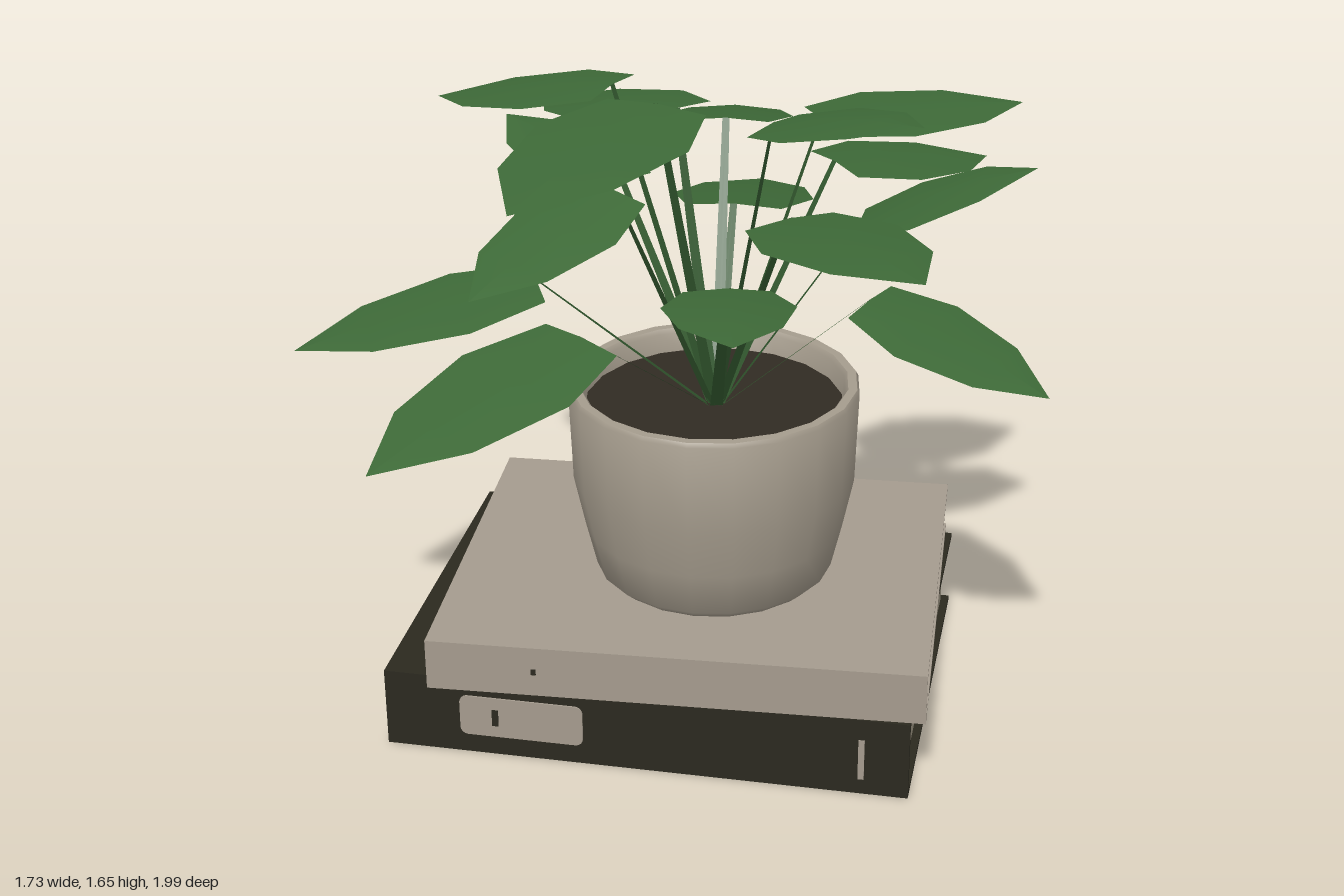
import * as THREE from 'three';
import { toCreasedNormals } from 'three/addons/utils/BufferGeometryUtils.js';

const mat = (name, color, side = THREE.FrontSide) => {
  const m = new THREE.MeshStandardMaterial({ color, side });
  m.name = name;
  return m;
};

export function createModel() {
  const model = new THREE.Group();
  const pale = mat('pale cover', 0xa59b8e);
  const paper = mat('paper', 0xa69d8b);
  const dark = mat('dark cover', 0x2b291f);
  const clay = mat('clay', 0xa59c8d);
  const earth = mat('earth', 0x312b23);
  const green = mat('leaf green', 0x3e6a38, THREE.DoubleSide);
  const stemGreen = mat('stem green', 0x33592f, THREE.DoubleSide);

  const add = (parent, name, geo, material, x = 0, y = 0, z = 0) => {
    const mesh = new THREE.Mesh(geo, material);
    mesh.name = name;
    mesh.position.set(x, y, z);
    parent.add(mesh);
    return mesh;
  };
  const box = (parent, name, w, h, d, material, x, y, z) =>
    add(parent, name, new THREE.BoxGeometry(w, h, d), material, x, y, z);

  // Book: two covers, a spine on the front edge and an inset page block
  const book = (name, w, h, d, cover, x, y, z, turn) => {
    const g = new THREE.Group();
    const t = 0.012;
    g.name = name;
    g.position.set(x, y, z);
    g.rotation.y = turn;
    box(g, 'bottomCover', w, t, d, cover, 0, t / 2, 0);
    box(g, 'topCover', w, t, d, cover, 0, h - t / 2, 0);
    box(g, 'spine', w, h - 2 * t, t, cover, 0, h / 2, d / 2 - t / 2);
    box(g, 'pages', w - 0.04, h - 2 * t, d - t - 0.02, paper, 0, h / 2, (0.02 - t) / 2);
    model.add(g);
    return g;
  };
  const lower = book('lowerBook', 1.3, 0.208, 0.96, dark, -0.1, 0, 0, 0.305);
  const upper = book('upperBook', 1.21, 0.132, 0.98, pale, -0.045, 0.208, -0.005, 0.36);

  // Spine decoration: rounded label, small marks and an end stripe
  const lw = 0.155, lh = 0.055, r = 0.02;
  const label = new THREE.Shape();
  label.absarc(lw - r, lh - r, r, 0, Math.PI / 2);
  label.absarc(-lw + r, lh - r, r, Math.PI / 2, Math.PI);
  label.absarc(-lw + r, -lh + r, r, Math.PI, Math.PI * 1.5);
  label.absarc(lw - r, -lh + r, r, Math.PI * 1.5, Math.PI * 2);
  add(lower, 'spineLabel',
    new THREE.ExtrudeGeometry(label, { depth: 0.004, bevelEnabled: false, curveSegments: 4 }),
    pale, -0.305, 0.107, 0.48);
  box(lower, 'labelMark', 0.016, 0.045, 0.003, dark, -0.37, 0.107, 0.485);
  box(lower, 'spineStripe', 0.015, 0.11, 0.004, pale, 0.535, 0.097, 0.481);
  box(upper, 'spineMark', 0.012, 0.015, 0.003, dark, -0.34, 0.066, 0.491);

  // Pot with an open rim, and the soil inside
  const profile = [[0, 0.34], [0.27, 0.34], [0.298, 0.365], [0.325, 0.48], [0.352, 0.61],
    [0.36, 0.845], [0.354, 0.856], [0.332, 0.856], [0.324, 0.845], [0.318, 0.77]]
    .map(([a, b]) => new THREE.Vector2(a, b));
  add(model, 'pot', toCreasedNormals(new THREE.LatheGeometry(profile, 20), 0.75), clay, -0.005, 0, 0);
  const soil = add(model, 'soil', new THREE.CircleGeometry(0.322, 20), earth, -0.005, 0.795, 0);
  soil.rotation.x = -Math.PI / 2;

  // Strip of cross-sections [centre, half width, edge drop] laid across a side vector
  const strip = (rows, side, up) => {
    const pos = [], idx = [];
    rows.forEach(([c, w, drop], i) => {
      for (const s of [-1, 0, 1]) {
        const p = c.clone().addScaledVector(side, s * w).addScaledVector(up, -Math.abs(s) * drop);
        pos.push(p.x, p.y, p.z);
      }
      if (i === 0) return;
      for (const j of [0, 1]) {
        const a = (i - 1) * 3 + j, b = a + 3;
        idx.push(a, a + 1, b + 1);
        if (i < rows.length - 1 || w > 0) idx.push(a, b + 1, b);
        else idx.push(a, b + 1, b);
      }
    });
    const geo = new THREE.BufferGeometry();
    geo.setAttribute('position', new THREE.Float32BufferAttribute(pos, 3));
    geo.setIndex(idx);
    geo.computeVertexNormals();
    return geo;
  };

  // Leaves: base x, y, z then tip x, y, z
  const leaves = [
    [0, 1.65, 0.28, 0.01, 1.6, 0.91],
    [-0.28, 1.57, 0, -0.77, 1.47, 0.02],
    [-0.19, 1.48, -0.15, -0.67, 1.385, -0.31],
    [-0.34, 1.27, -0.14, -0.75, 1.345, -0.25],
    [-0.32, 1.17, 0.3, -0.75, 1.045, 0.68],
    [-0.14, 1.1, 0.4, -0.33, 0.96, 0.99],
    [-0.11, 1.43, 0.29, -0.24, 1.28, 0.7],
    [0.19, 1.25, 0.3, 0.39, 1.285, 0.65],
    [0.25, 1.365, 0.11, 0.72, 1.405, 0.41],
    [0.41, 1.155, 0, 0.87, 1.01, 0.02],
    [0.15, 1.545, 0, 0.56, 1.62, 0.07],
    [0.32, 1.29, -0.12, 0.71, 1.45, -0.25],
    [0.19, 1.51, -0.17, 0.55, 1.495, -0.55],
    [0.18, 1.37, -0.27, 0.42, 1.3, -0.66],
    [-0.16, 1.4, -0.35, -0.34, 1.28, -0.76],
    [-0.18, 1.14, -0.43, -0.39, 0.985, -1],
  ];
  const plant = new THREE.Group();
  plant.name = 'plant';
  model.add(plant);
  for (const [bx, by, bz, tx, ty, tz] of leaves) {
    const base = new THREE.Vector3(bx, by, bz);
    const tip = new THREE.Vector3(tx, ty, tz);
    const dir = tip.clone().sub(base);
    const len = dir.length();
    const side = new THREE.Vector3(-dir.z, 0, dir.x).normalize();
    const up = side.clone().cross(dir).normalize();
    if (up.y < 0) up.negate();
    const w = 0.168 * Math.sqrt(len / 0.5);
    const rows = [[0, 0.66, 0.008, 0], [0.32, 1, 0.014, 0.012], [0.7, 0.74, 0.01, 0.012], [1, 0, 0, 0]]
      .map(([t, k, drop, arch]) =>
        [base.clone().lerp(tip, t).addScaledVector(up, arch), w * k, drop]);
    const geo = strip(rows, side.clone().negate(), up);
    // Wind the blade so that its upper face is the front
    if (geo.attributes.normal.getY(4) < 0) {
      geo.index.array.reverse();
      geo.computeVertexNormals();
    }
    add(plant, 'leaf', geo, green);

    // Flat tapered stem from the soil to the leaf base
    const root = new THREE.Vector3(bx * 0.04, 0.79, bz * 0.04);
    const across = new THREE.Vector3(-bz, 0, bx).normalize();
    add(plant, 'stem', strip([[root, 0.016, 0], [base, 0.009, 0]], across, up), stemGreen);
  }
  return model;
}
